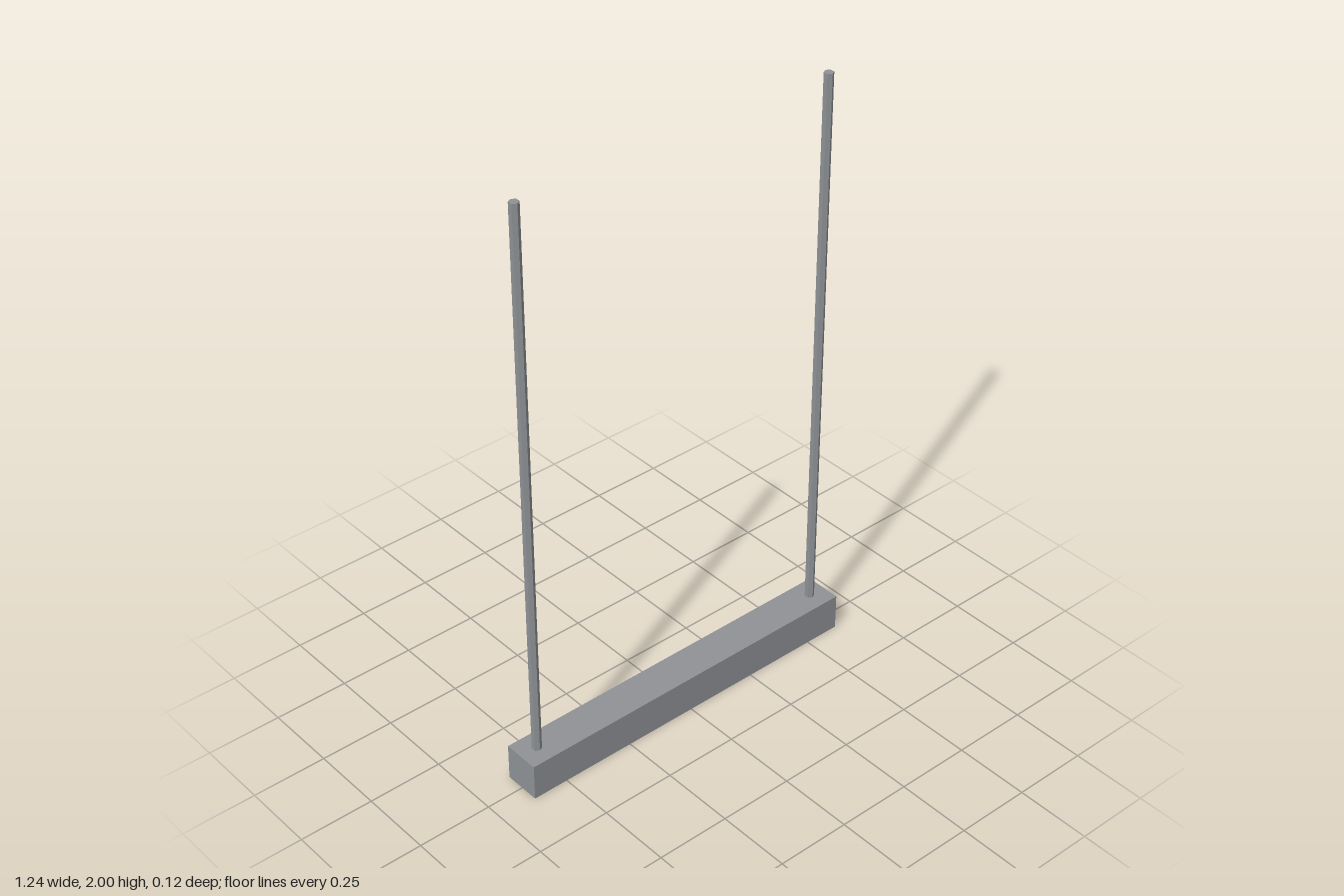
import * as THREE from 'three';

export function createModel() {
  const group = new THREE.Group();
  const metal = new THREE.MeshStandardMaterial({ color: 0x8f9296 });
  metal.name = 'grey metal';
  metal.flatShading = true;

  // Horizontal bar
  const barHeight = 0.125;
  const bar = new THREE.Mesh(new THREE.BoxGeometry(1.244, barHeight, 0.125), metal);
  bar.name = 'bar';
  bar.position.y = barHeight / 2;
  group.add(bar);

  // Hexagonal hanging rods, one near each end
  const rodLength = 2 - barHeight;
  const rodGeometry = new THREE.CylinderGeometry(0.0155, 0.0155, rodLength, 6);
  for (const side of [-1, 1]) {
    const rod = new THREE.Mesh(rodGeometry, metal);
    rod.name = side > 0 ? 'leftRod' : 'rightRod';
    rod.position.set(side * 0.561, barHeight + rodLength / 2, 0);
    group.add(rod);
  }

  return group;
}
